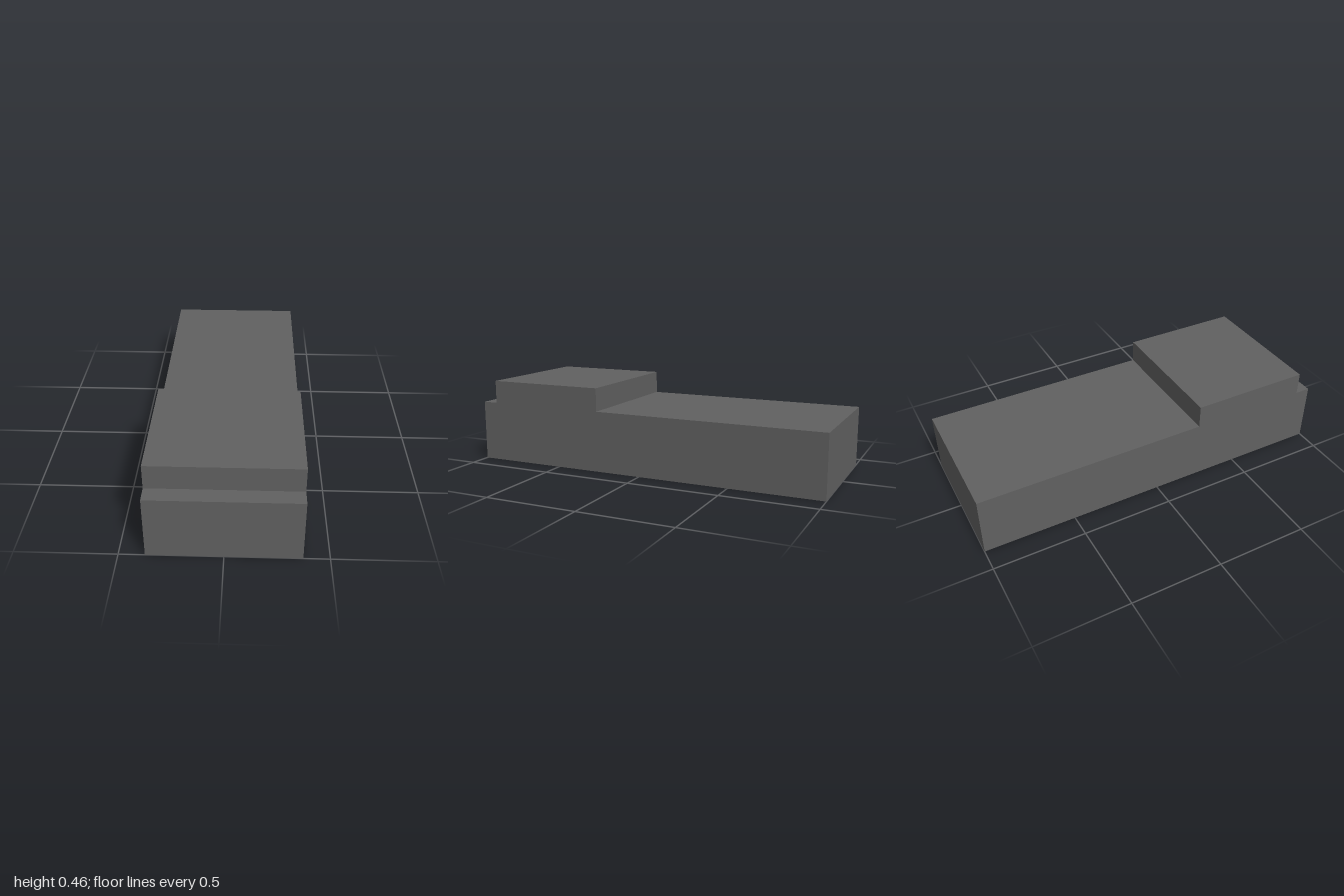
import * as THREE from 'three';

// Thin-walled box without a bottom face, spanning the given y and z ranges
function openBox(name, material, width, y0, y1, z0, z1) {
  const geometry = new THREE.BoxGeometry(width, y1 - y0, z1 - z0);
  const index = Array.from(geometry.getIndex().array);
  index.splice(18, 6); // the downward face
  geometry.setIndex(index);
  geometry.clearGroups();
  const mesh = new THREE.Mesh(geometry, material);
  mesh.name = name;
  mesh.position.set(0, (y0 + y1) / 2, (z0 + z1) / 2);
  return mesh;
}

export function createModel() {
  const group = new THREE.Group();
  group.name = 'steppedHousing';
  const grey = new THREE.MeshStandardMaterial({ color: 0x606060, side: THREE.DoubleSide });
  grey.name = 'dark grey';

  const width = 0.746;
  // Long body, open underneath
  group.add(openBox('body', grey, width, 0, 0.333, -1, 1));
  // Raised block; its end walls hang down inside the body
  group.add(openBox('raisedBlock', grey, width, 0.207, 0.46, 0.253, 0.915));
  return group;
}
